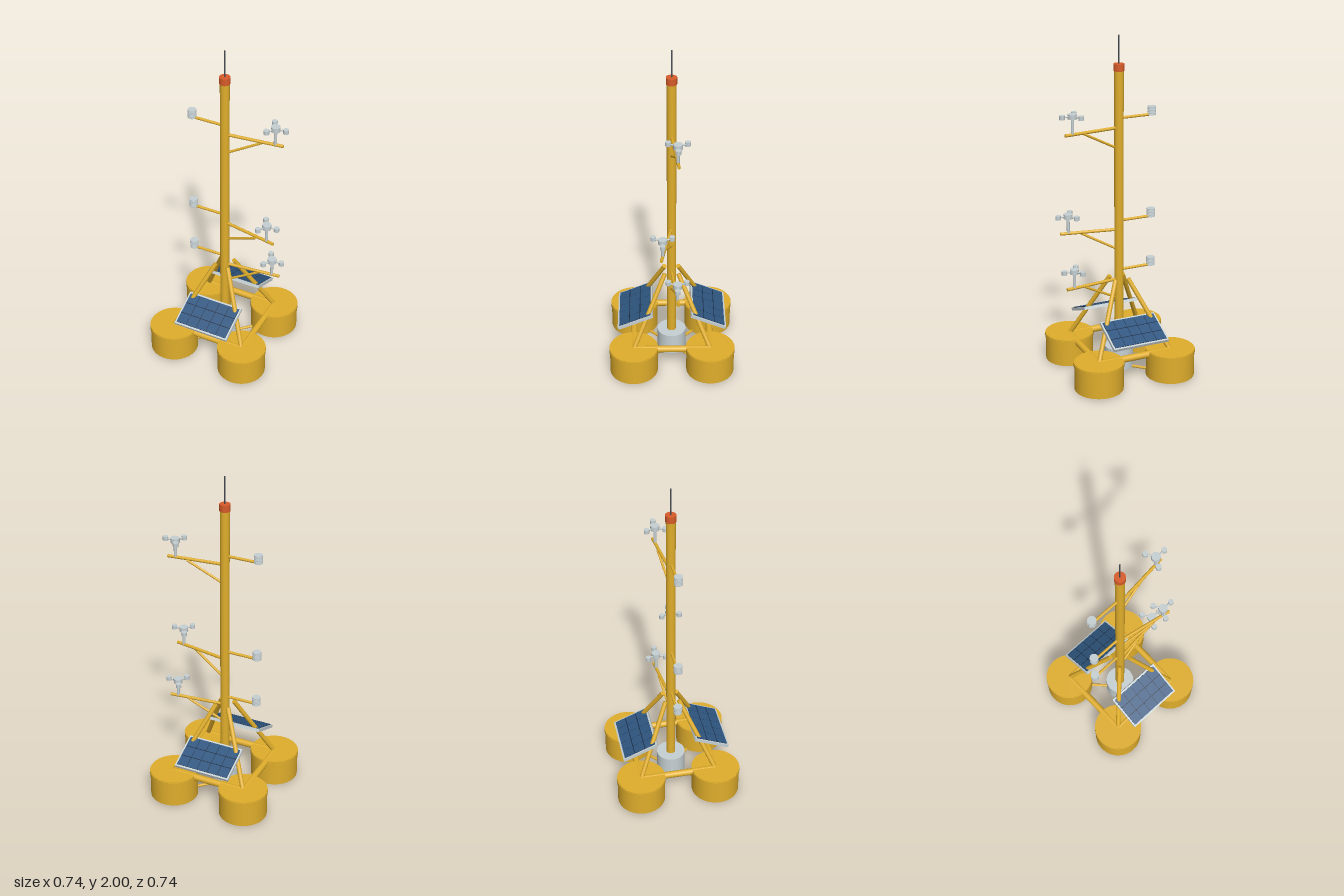
import * as THREE from 'three';

const flat = (name, color, side = THREE.FrontSide) => {
  const m = new THREE.MeshStandardMaterial({ color, side });
  m.name = name;
  return m;
};

export function createModel() {
  const yellow = flat('buoy yellow', 0xe0ae2c);
  const grey = flat('light grey', 0xc6d0d3);
  const orange = flat('beacon orange', 0xd85c2a);
  const dark = flat('antenna grey', 0x4a5058);
  const cellBlue = flat('solar blue', 0x2f5680);
  const navy = flat('cell gap navy', 0x16263c);

  const model = new THREE.Group();
  model.name = 'weatherBuoy';

  const add = (parent, name, geometry, material, x = 0, y = 0, z = 0) => {
    const mesh = new THREE.Mesh(geometry, material);
    mesh.name = name;
    mesh.position.set(x, y, z);
    parent.add(mesh);
    return mesh;
  };
  // Upright cylinder between two heights
  const post = (parent, name, r, y0, y1, material, x = 0, z = 0, seg = 24) =>
    add(parent, name, new THREE.CylinderGeometry(r, r, y1 - y0, seg), material, x, (y0 + y1) / 2, z);
  // Round bar between two points
  const bar = (parent, name, a, b, r, material, seg = 16) => {
    const p = new THREE.Vector3(...a), q = new THREE.Vector3(...b);
    const d = q.clone().sub(p);
    const mesh = add(parent, name, new THREE.CylinderGeometry(r, r, d.length(), seg), material);
    mesh.position.copy(p).add(q).multiplyScalar(0.5);
    mesh.quaternion.setFromUnitVectors(new THREE.Vector3(0, 1, 0), d.normalize());
    return mesh;
  };

  // Floats with rims, legs and lower ties at the four corners
  const F = 0.227;
  for (const sx of [-1, 1]) for (const sz of [-1, 1]) {
    post(model, 'float', 0.142, 0.003, 0.17, yellow, sx * F, sz * F, 48);
    post(model, 'floatRim', 0.145, 0.14, 0.166, yellow, sx * F, sz * F, 48);
    bar(model, 'leg', [sx * 0.222, 0.165, sz * 0.222], [sx * 0.04, 0.568, sz * 0.04], 0.0135, yellow);
    bar(model, 'lowerTie', [0, 0.008, 0], [sx * 0.19, 0.008, sz * 0.19], 0.008, yellow, 12);
  }

  // Square of tubes joining the floats
  for (const s of [-1, 1]) {
    bar(model, 'sideTube', [s * F, 0.153, -F], [s * F, 0.153, F], 0.02, yellow);
    bar(model, 'crossTube', [-F, 0.153, s * F], [F, 0.153, s * F], 0.02, yellow);
  }

  // Central hull, mast, beacon and antenna
  post(model, 'instrumentHull', 0.085, 0.003, 0.135, grey, 0, 0, 40);
  post(model, 'mast', 0.027, 0.13, 1.8, yellow);
  post(model, 'beacon', 0.031, 1.8, 1.84, orange);
  post(model, 'antenna', 0.004, 1.84, 2, dark, 0, 0, 10);

  // Tilted solar panels, front and back
  for (const turn of [0, Math.PI]) {
    const side = new THREE.Group();
    side.name = 'solarPanelSide';
    side.rotation.y = turn;
    const panel = new THREE.Group();
    panel.name = 'solarPanel';
    panel.position.set(0, 0.308, 0.216);
    panel.rotation.x = 0.405;
    side.add(panel);
    model.add(side);
    add(panel, 'panelFrame', new THREE.BoxGeometry(0.344, 0.018, 0.2226), grey);
    add(panel, 'cellBacking', new THREE.BoxGeometry(0.324, 0.003, 0.2), navy, 0, 0.0095, 0);
    for (let c = 0; c < 5; c++) for (let r = 0; r < 3; r++) {
      add(panel, 'solarCell', new THREE.BoxGeometry(0.0625, 0.003, 0.0635), cellBlue,
        (c - 2) * 0.0652, 0.0107, (r - 1) * 0.068);
    }
  }

  // Slatted temperature shields on the right-hand arms
  for (const y of [0.617, 0.92, 1.53]) {
    const sensor = new THREE.Group();
    sensor.name = 'temperatureSensor';
    sensor.position.y = y;
    model.add(sensor);
    bar(sensor, 'sensorArm', [0, 0, 0], [-0.2, 0, 0], 0.008, yellow, 12);
    post(sensor, 'shieldCore', 0.01, -0.004, 0.044, grey, -0.203, 0, 12);
    for (let i = 0; i < 6; i++) {
      post(sensor, 'shieldPlate', 0.025, i * 0.0088 - 0.002, i * 0.0088 + 0.0035, grey, -0.203, 0, 24);
    }
  }

  // Anemometers on braced left-hand arms
  for (const [y, z] of [[0.56, -0.031], [0.867, 0.053], [1.475, -0.031]]) {
    const unit = new THREE.Group();
    unit.name = 'windSensor';
    unit.position.y = y;
    model.add(unit);
    const x = 0.293;
    bar(unit, 'windArm', [0, 0, 0], [0.34, 0, z * 0.34 / x], 0.009, yellow, 12);
    bar(unit, 'windArmBrace', [0.02, -0.115, 0], [0.222, -0.006, z * 0.93], 0.007, yellow, 12);
    post(unit, 'windPost', 0.009, 0, 0.09, grey, x, z, 12);
    post(unit, 'windHub', 0.026, 0.09, 0.118, grey, x, z, 24);
    for (let i = 0; i < 3; i++) {
      const a = i * Math.PI * 2 / 3;
      const cx = x + 0.061 * Math.cos(a), cz = z + 0.061 * Math.sin(a);
      bar(unit, 'cupArm', [x, 0.104, z], [cx, 0.104, cz], 0.005, grey, 8);
      post(unit, 'windCup', 0.0158, 0.092, 0.116, grey, cx, cz, 16);
    }
  }
  return model;
}
